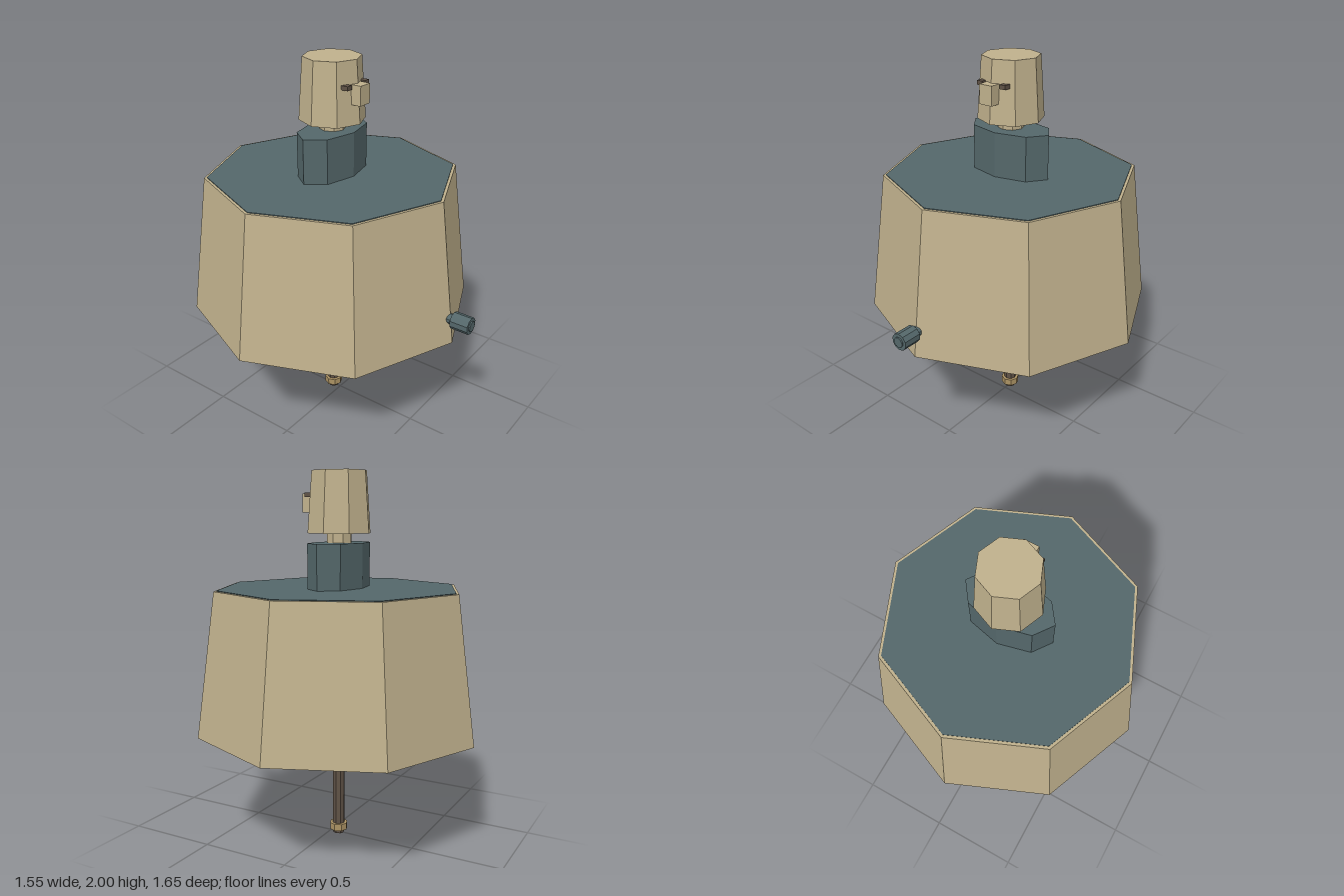
import * as THREE from 'three';

const CZ = -0.05; // z of the main vertical axis

const mat = (name, color) => {
  const m = new THREE.MeshStandardMaterial({ color, flatShading: true });
  m.name = name;
  return m;
};

export function createModel() {
  const sand = mat('sand', 0xbfb08c);
  const slate = mat('slate', 0x54676a);
  const brown = mat('darkBrown', 0x5f5246);
  const gold = mat('ochre', 0xab9263);

  const model = new THREE.Group();
  model.name = 'figure';

  const add = (name, geometry, material, x, y, z) => {
    const mesh = new THREE.Mesh(geometry, material);
    mesh.name = name;
    mesh.position.set(x, y, z);
    model.add(mesh);
    return mesh;
  };
  const box = (name, material, w, h, d, x, y, z) =>
    add(name, new THREE.BoxGeometry(w, h, d), material, x, y, z);
  // Eight-sided drum on the main axis, optionally squashed in x or z
  const drum = (name, material, rTop, rBottom, y0, y1, sx = 1, sz = 1) => {
    const g = new THREE.CylinderGeometry(rTop, rBottom, y1 - y0, 8);
    g.scale(sx, 1, sz);
    return add(name, g, material, 0, (y0 + y1) / 2, CZ);
  };

  // Wide skirt-like body with dark lid and underside
  const body = drum('body', sand, 0.67, 0.775, 0.62, 1.39);
  body.material = [sand, sand, slate];
  drum('bodyLid', slate, 0.655, 0.655, 1.386, 1.394);

  // Shoulders, neck and head
  drum('shoulders', slate, 0.24, 0.24, 1.39, 1.63, 1, 0.57);
  drum('neck', sand, 0.068, 0.068, 1.63, 1.68);
  drum('head', sand, 0.15, 0.173, 1.68, 2);
  box('nose', sand, 0.078, 0.1, 0.06, 0, 1.835, 0.122);
  for (const side of [-1, 1]) {
    box('eye', brown, 0.034, 0.022, 0.045, side * 0.072, 1.876, 0.088);
  }

  // Front port: barrel, recessed core and stem into the body
  const port = (name, material, r, z0, z1) => {
    const g = new THREE.CylinderGeometry(r, r, z1 - z0, 10);
    g.rotateX(Math.PI / 2);
    add(name, g, material, 0, 0.76, (z0 + z1) / 2);
  };
  port('portStem', slate, 0.028, 0.68, 0.73);
  port('portBarrel', slate, 0.046, 0.723, 0.822);
  port('portCore', slate, 0.028, 0.82, 0.829);

  // Hip block with its lower front and back edges bevelled
  const hip = new THREE.Shape();
  [[-0.09, 0.625], [-0.09, 0.575], [-0.066, 0.55], [0.066, 0.55], [0.09, 0.575], [0.09, 0.625]]
    .forEach(([z, y], i) => (i ? hip.lineTo(z, y) : hip.moveTo(z, y)));
  const hipGeo = new THREE.ExtrudeGeometry(hip, { depth: 0.136, bevelEnabled: false });
  hipGeo.translate(0, 0, -0.068);
  hipGeo.rotateY(Math.PI / 2);
  add('hipBlock', hipGeo, sand, 0, 0, CZ);
  const stud = new THREE.CylinderGeometry(0.028, 0.008, 0.05, 6);
  add('hipStud', stud, brown, 0, 0.58, 0.035);

  // Single leg
  drum('knee', slate, 0.055, 0.055, 0.45, 0.555, 0.75, 1);
  drum('kneeCollar', gold, 0.072, 0.072, 0.428, 0.455, 0.72, 1);
  box('collarTab', gold, 0.04, 0.022, 0.06, 0, 0.462, CZ);
  drum('shin', brown, 0.034, 0.034, 0.01, 0.43);
  drum('footRing', gold, 0.05, 0.05, 0.022, 0.06);
  drum('footTip', brown, 0.034, 0.03, 0, 0.022);
  const brace = box('kneeBrace', brown, 0.095, 0.16, 0.04, 0, 0.54, -0.127);
  brace.rotation.x = 0.15;

  // Thin hatch under the body
  box('hatch', slate, 0.15, 0.009, 0.045, 0, 0.6185, -0.43);

  return model;
}
